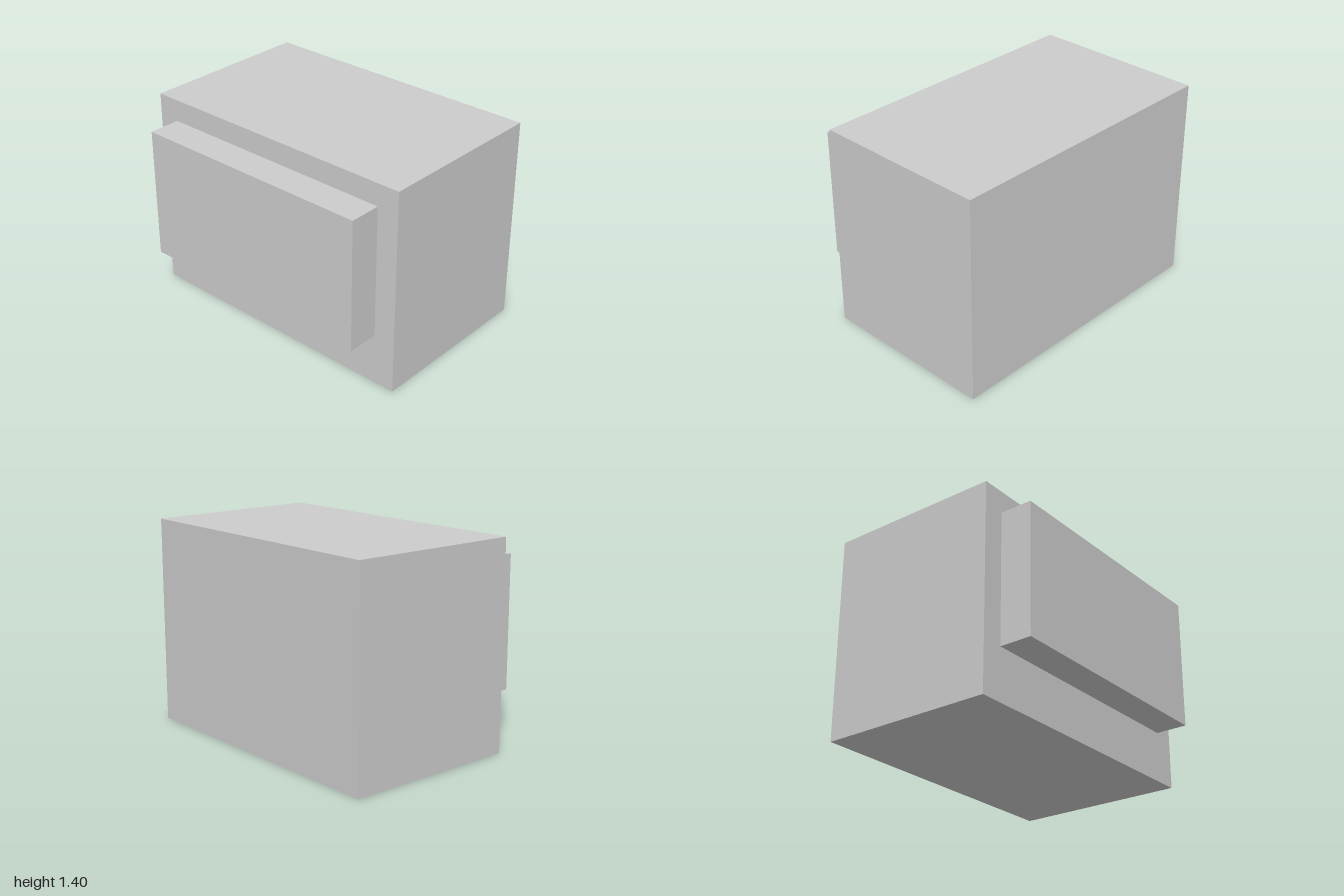
import * as THREE from 'three';

const material = new THREE.MeshStandardMaterial({ color: 0xcccccc, flatShading: true });

// Box given by its size and the centre of its back face's lower edge
function addBox(group, name, width, height, depth, bottom, back) {
  const mesh = new THREE.Mesh(new THREE.BoxGeometry(width, height, depth), material);
  mesh.name = name;
  mesh.position.set(0, bottom + height / 2, back + depth / 2);
  group.add(mesh);
}

export function createModel() {
  const group = new THREE.Group();
  group.name = 'boxWithFrontPanel';

  // Main body
  addBox(group, 'body', 2, 1.4, 1.2, 0, -0.71);

  // Raised panel on the front face
  addBox(group, 'frontPanel', 1.7, 0.9, 0.22, 0.35, 0.49);

  return group;
}
